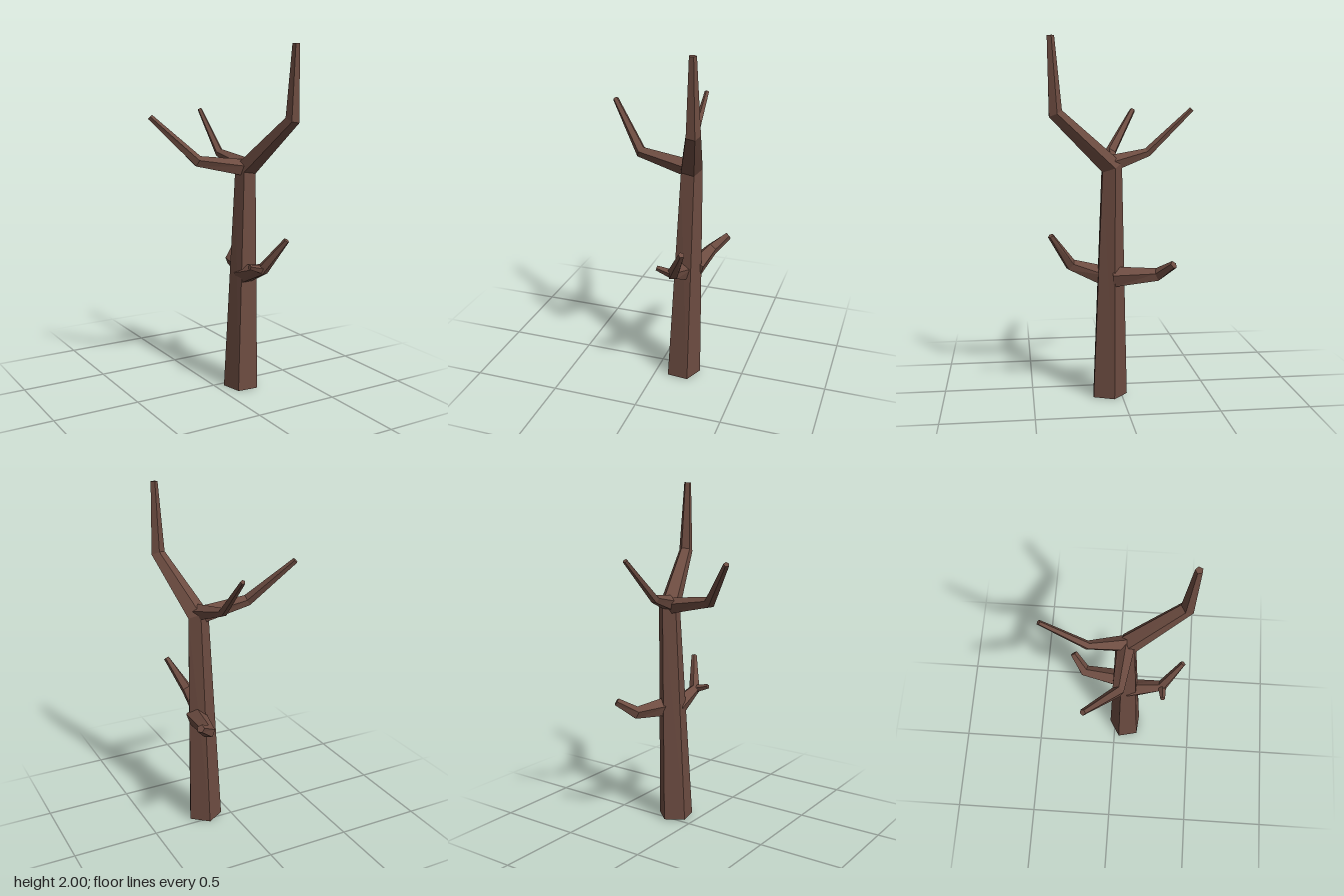
import * as THREE from 'three';

const SIDES = 5;
const PHASE = THREE.MathUtils.degToRad(-13);

// Tapered five-sided limb: path entries are [x, y, z, radius], rings bisect each bend
function limbGeometry(path, reference, phase) {
  const centres = path.map(([x, y, z]) => new THREE.Vector3(x, y, z));
  const last = path.length - 1;
  const direction = (i) => centres[i + 1].clone().sub(centres[i]).normalize();
  const rings = centres.map((centre, i) => {
    const t = new THREE.Vector3();
    if (i > 0) t.add(direction(i - 1));
    if (i < last) t.add(direction(i));
    if (centre.y === 0) t.set(0, 1, 0); // flat on the ground
    t.normalize();
    const u = reference.clone().addScaledVector(t, -reference.dot(t)).normalize();
    const v = u.clone().cross(t);
    return Array.from({ length: SIDES }, (_, k) => {
      const a = phase + (k / SIDES) * Math.PI * 2;
      return centre.clone()
        .addScaledVector(u, Math.cos(a) * path[i][3])
        .addScaledVector(v, Math.sin(a) * path[i][3]);
    });
  });

  // Separate triangles keep every facet flat
  const corners = [];
  for (let k = 0; k < SIDES; k++) {
    const n = (k + 1) % SIDES;
    for (let i = 0; i < last; i++) {
      const a = rings[i][k], b = rings[i][n], c = rings[i + 1][n], d = rings[i + 1][k];
      corners.push(a, d, c, a, c, b);
    }
    corners.push(centres[0], rings[0][k], rings[0][n]);
    corners.push(centres[last], rings[last][n], rings[last][k]);
  }
  const geometry = new THREE.BufferGeometry().setFromPoints(corners);
  geometry.computeVertexNormals();
  return geometry;
}

export function createModel() {
  const group = new THREE.Group();
  group.name = 'bareTree';
  const bark = new THREE.MeshStandardMaterial({ color: 0x6d4c41 });
  bark.name = 'bark';

  const X = new THREE.Vector3(1, 0, 0);
  const Y = new THREE.Vector3(0, 1, 0);
  const addLimb = (name, path, reference = Y, phase = 0) => {
    const mesh = new THREE.Mesh(limbGeometry(path, reference, phase), bark);
    mesh.name = name;
    group.add(mesh);
  };

  // Trunk runs on into the tallest branch
  addLimb('trunk', [
    [0.15, 0, 0.072, 0.105],
    [0.18, 1.3, 0.06, 0.065],
    [0.28, 1.595, 0.37, 0.042],
    [0.28, 2, 0.39, 0.021],
  ], X, PHASE);

  // Upper fork
  addLimb('upperRightBranch', [
    [0.18, 1.3, 0.06, 0.052],
    [-0.12, 1.355, 0.03, 0.034],
    [-0.333, 1.6, -0.132, 0.017],
  ]);
  addLimb('upperBackBranch', [
    [0.172, 1.32, 0.05, 0.048],
    [0.126, 1.375, -0.15, 0.026],
    [0.135, 1.613, -0.397, 0.014],
  ]);

  // Lower branches
  addLimb('lowerBackBranch', [
    [0.205, 0.69, 0.05, 0.06],
    [0.24, 0.705, -0.195, 0.038],
    [0.322, 0.775, -0.268, 0.023],
  ]);
  addLimb('lowerFrontBranch', [
    [0.15, 0.68, 0.08, 0.06],
    [0.153, 0.755, 0.283, 0.035],
    [0.235, 0.935, 0.396, 0.017],
  ]);
  addLimb('frontTwig', [
    [0.155, 0.755, 0.285, 0.028],
    [0.12, 0.764, 0.286, 0.023],
    [0.06, 0.782, 0.291, 0.015],
  ]);

  return group;
}
